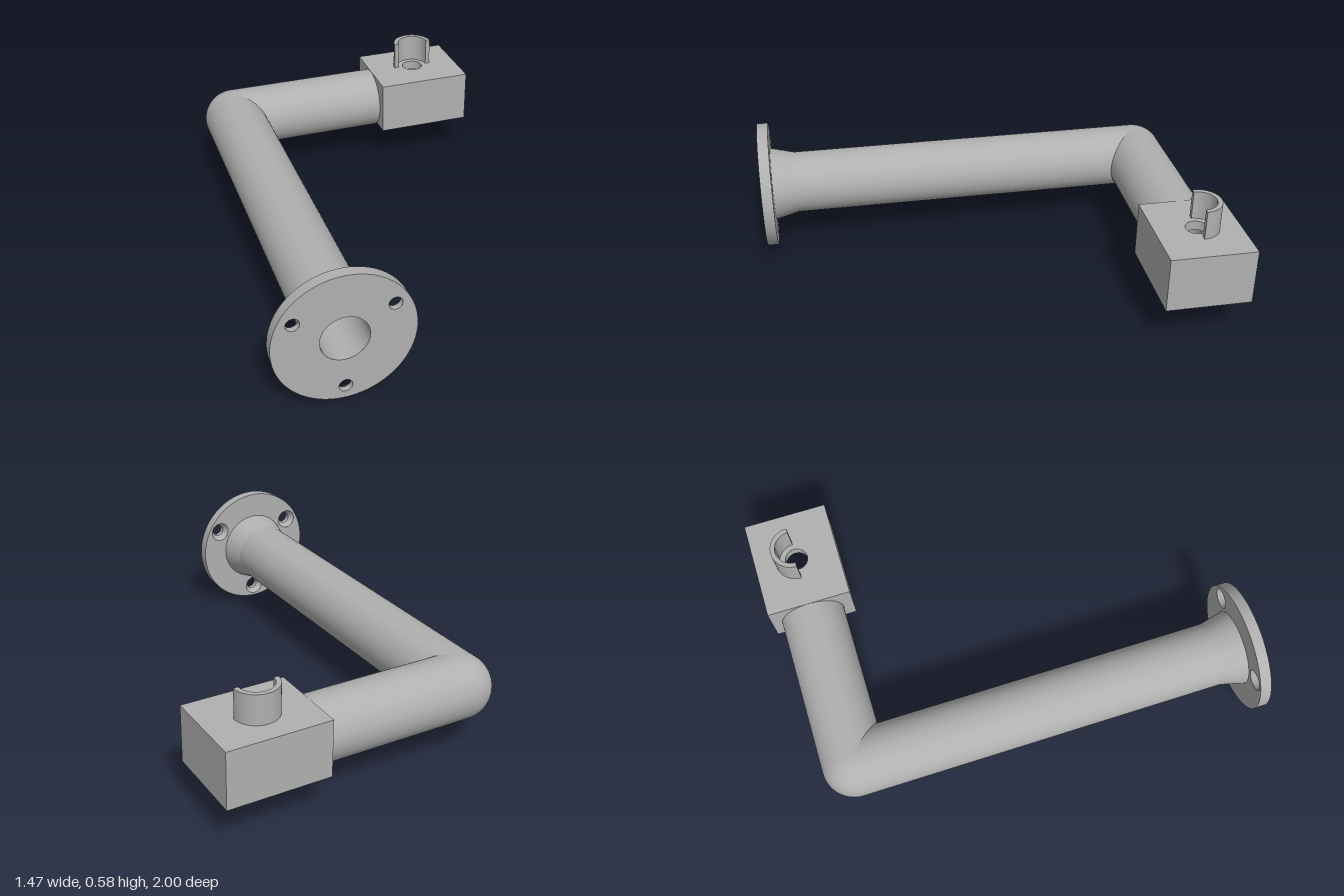
import * as THREE from 'three';
import { toCreasedNormals } from 'three/addons/utils/BufferGeometryUtils.js';

const AX = -0.445, AY = 0.29, AZ = -0.815; // elbow centre
const R = 0.143, BORE = 0.1, WALL = 0.043;
const SEG = 64;

export function createModel() {
  const model = new THREE.Group();
  const grey = new THREE.MeshStandardMaterial({ color: 0xb0b0b0, side: THREE.DoubleSide });
  grey.name = 'grey';

  const add = (parent, name, geometry, x = 0, y = 0, z = 0) => {
    const mesh = new THREE.Mesh(geometry, grey);
    mesh.name = name;
    mesh.position.set(x, y, z);
    parent.add(mesh);
    return mesh;
  };
  const group = (name) => {
    const g = new THREE.Group();
    g.name = name;
    model.add(g);
    return g;
  };
  const circle = (x, y, r) => new THREE.Path().absarc(x, y, r, 0, Math.PI * 2, true);

  // Open tube along z, from z0 (radius r0) to z1 (radius r1)
  const tubeZ = (r0, r1, z0, z1, seg = SEG) =>
    new THREE.CylinderGeometry(r1, r0, z1 - z0, seg, 1, true)
      .rotateX(Math.PI / 2).translate(0, 0, (z0 + z1) / 2);

  // Tube starting at the elbow, cut on the mitre at its inner side
  const mitred = (r, length, along, across) => {
    const g = new THREE.CylinderGeometry(r, r, length, SEG, 1, true);
    if (along === 'z') g.rotateX(Math.PI / 2).translate(0, 0, length / 2);
    else g.rotateZ(-Math.PI / 2).translate(length / 2, 0, 0);
    const p = g.attributes.position;
    const get = { x: 'getX', z: 'getZ' }, set = { x: 'setX', z: 'setZ' };
    for (let i = 0; i < p.count; i++) {
      if (p[get[along]](i) < 1e-4) p[set[along]](i, Math.max(0, p[get[across]](i)));
    }
    return g;
  };

  // Bent pipe, outside and bore
  const pipe = group('bentPipe');
  const boxX0 = 0.28, boxX1 = 0.73;
  for (const [label, r, endZ, endX] of [
    ['Outside', R, 0.84, boxX0],
    ['Bore', BORE, 1, boxX0 + WALL],
  ]) {
    add(pipe, 'longPipe' + label, mitred(r, endZ - AZ, 'z', 'x'), AX, AY, AZ);
    add(pipe, 'shortPipe' + label, mitred(r, endX - AX, 'x', 'z'), AX, AY, AZ);
    add(pipe, 'elbow' + label,
      new THREE.SphereGeometry(r, 16, 32, Math.PI * 1.5, Math.PI / 2), AX, AY, AZ);
  }
  add(pipe, 'pipeEnd', new THREE.RingGeometry(BORE, R, SEG).rotateY(Math.PI / 2), boxX0, AY, AZ);
  add(pipe, 'flaredNeck', tubeZ(0.17, R, -0.95, -0.84).rotateY(Math.PI), AX, AY, 0);

  // Mounting flange with three countersunk screw holes
  const flange = group('flange');
  const FR = 0.29, zBack = 0.95, zMid = 0.975;
  const holes = [30, 150, 270].map((deg) => {
    const a = THREE.MathUtils.degToRad(deg);
    return [0.231 * Math.cos(a), 0.231 * Math.sin(a)];
  });
  const disc = (centreR, holeR) => {
    const s = new THREE.Shape().absarc(0, 0, FR, 0, Math.PI * 2);
    s.holes.push(circle(0, 0, centreR), ...holes.map(([x, y]) => circle(x, y, holeR)));
    return new THREE.ShapeGeometry(s, 48);
  };
  add(flange, 'flangeFront', disc(BORE, 0.028), AX, AY, 1);
  add(flange, 'flangeBack', disc(0.169, 0.047).rotateY(Math.PI), AX, AY, zBack);
  add(flange, 'flangeRim', tubeZ(FR, FR, zBack, 1, 96), AX, AY, 0);
  for (const [x, y] of holes) {
    add(flange, 'screwHole', tubeZ(0.028, 0.028, zMid, 1, 32), AX + x, AY + y, 0);
    add(flange, 'countersink', tubeZ(0.047, 0.028, zBack, zMid, 32), AX + x, AY + y, 0);
  }

  // Hollow box, open underneath
  const box = group('hollowBox');
  const cx = (boxX0 + boxX1) / 2, cz = -0.8125, y0 = 0.185, y1 = 0.435;
  const W = boxX1 - boxX0, D = 0.375;
  const rect = (w, h, hole) => {
    const s = new THREE.Shape();
    s.moveTo(-w / 2, -h / 2).lineTo(w / 2, -h / 2).lineTo(w / 2, h / 2).lineTo(-w / 2, h / 2).closePath();
    if (hole) s.holes.push(hole);
    return new THREE.ShapeGeometry(s, 48);
  };
  for (const [label, t] of [['outer', 0], ['inner', WALL]]) {
    const w = W - 2 * t, d = D - 2 * t, top = y1 - t, h = top - y0, cy = (top + y0) / 2;
    add(box, label + 'Front', rect(w, h), cx, cy, cz + d / 2);
    add(box, label + 'Back', rect(w, h).rotateY(Math.PI), cx, cy, cz - d / 2);
    add(box, label + 'End', rect(d, h).rotateY(Math.PI / 2), cx + w / 2, cy, cz);
    add(box, label + 'PipeSide',
      rect(d, h, circle(AZ - cz, AY - cy, BORE)).rotateY(-Math.PI / 2), cx - w / 2, cy, cz);
    add(box, label + 'Top', rect(w, d, circle(0, 0, 0.05)).rotateX(-Math.PI / 2), cx, top, cz);
  }
  const iw = W / 2 - WALL, id = D / 2 - WALL;
  const opening = new THREE.Path([[-iw, -id], [-iw, id], [iw, id], [iw, -id]]
    .map(([x, y]) => new THREE.Vector2(x, y)));
  add(box, 'bottomRim', rect(W, D, opening).rotateX(Math.PI / 2), cx, y0, cz);
  add(box, 'topHole', new THREE.CylinderGeometry(0.05, 0.05, WALL, 48, 1, true), cx, y1 - WALL / 2, cz);

  // Half-round collar behind the top hole
  const half = new THREE.Shape();
  half.absarc(0, 0, 0.095, 0, Math.PI, false);
  half.absarc(0, 0, 0.074, Math.PI, 0, true);
  half.closePath();
  const collar = new THREE.ExtrudeGeometry(half, { depth: 0.13, bevelEnabled: false, curveSegments: 32 })
    .rotateX(-Math.PI / 2);
  add(model, 'halfCollar', toCreasedNormals(collar, 0.6), cx, y1, cz);

  return model;
}
